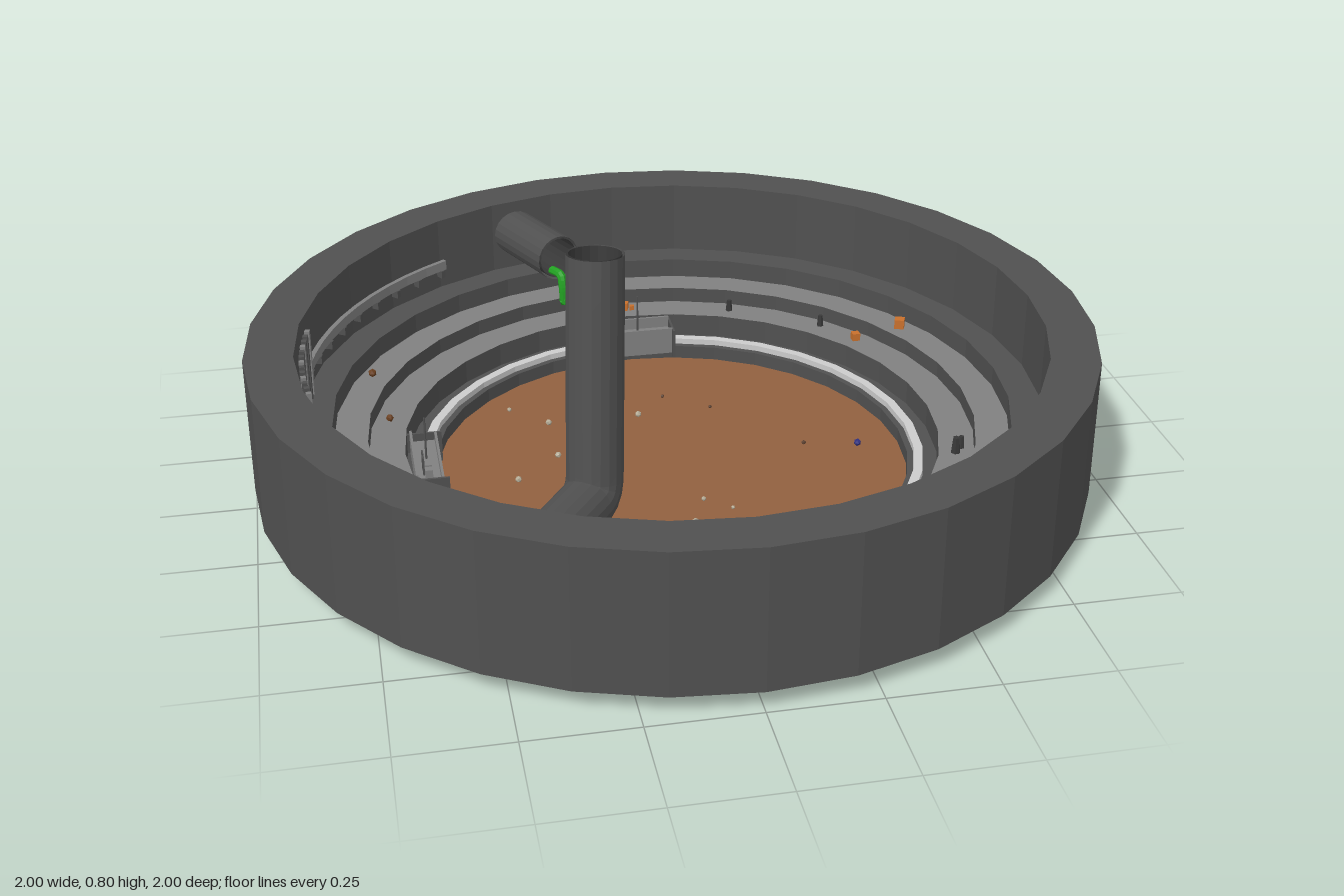
import * as THREE from 'three';

const DARK = 0x505050, STONE = 0x808080, PALE = 0xcccccc, SOIL = 0x91603f;
const mat = (color) => new THREE.MeshStandardMaterial({ color, flatShading: true, side: THREE.DoubleSide });
const V = (x, y, z) => new THREE.Vector3(x, y, z);

function add(parent, name, geo, color, x = 0, y = 0, z = 0) {
  const m = new THREE.Mesh(geo, mat(color));
  m.name = name;
  m.position.set(x, y, z);
  parent.add(m);
  return m;
}
const box = (parent, name, w, h, d, color, x, y, z) =>
  add(parent, name, new THREE.BoxGeometry(w, h, d), color, x, y, z);

// 32-sided ring swept from [radius, height] pairs
const ring = (parent, name, pts, color) =>
  add(parent, name, new THREE.LatheGeometry(pts.map((p) => new THREE.Vector2(...p)), 32), color);

// Open pipe: straight runs joined by a short bend at the middle point
function pipe(parent, name, pts, r) {
  const path = new THREE.CurvePath();
  if (pts.length === 2) path.add(new THREE.LineCurve3(pts[0], pts[1]));
  else {
    const [a, b, c] = pts;
    const b0 = b.clone().add(a.clone().sub(b).setLength(0.05));
    const b1 = b.clone().add(c.clone().sub(b).setLength(0.05));
    path.add(new THREE.LineCurve3(a, b0));
    path.add(new THREE.QuadraticBezierCurve3(b0, b, b1));
    path.add(new THREE.LineCurve3(b1, c));
  }
  add(parent, name, new THREE.TubeGeometry(path, 40, r, 20), DARK);
  add(parent, name + 'Lining', new THREE.TubeGeometry(path, 40, r - 0.006, 20), 0x383838);
}

// Surface height of the bowl interior at a given radius
const heightAt = (r) => (r > 0.81 ? 0.2 : r > 0.73 ? 0.15 : r > 0.645 ? 0.11 : r > 0.57 ? 0.05 : 0.015);

// Viewing box on the barrier, built facing +z at the back of the arena
function viewingBox() {
  const g = new THREE.Group();
  g.name = 'viewingBox';
  box(g, 'boxFloor', 0.22, 0.05, 0.066, STONE, 0, 0.055, 0);
  box(g, 'boxFront', 0.22, 0.025, 0.006, STONE, 0, 0.09, 0.03);
  box(g, 'boxBack', 0.22, 0.03, 0.006, STONE, 0, 0.095, -0.03);
  for (const s of [-1, 1]) {
    box(g, 'boxSide', 0.006, 0.08, 0.09, DARK, s * 0.112, 0.06, 0);
  }
  for (const x of [-0.065, -0.04]) {
    box(g, 'seat', 0.018, 0.02, 0.018, STONE, x, 0.09, 0);
    box(g, 'seatBack', 0.018, 0.045, 0.004, DARK, x, 0.11, -0.012);
  }
  add(g, 'pole', new THREE.CylinderGeometry(0.0025, 0.0025, 0.11, 6), DARK, 0.02, 0.135, 0);
  return g;
}

export function createModel() {
  const model = new THREE.Group();
  model.name = 'arena';

  // Outer bowl, stepped underside and inner wall
  ring(model, 'outerShell', [[0, 0], [0.73, 0], [0.73, 0.01], [0.885, 0.01], [0.885, 0.05], [1, 0.05],
    [1, 0.39], [0.885, 0.39], [0.885, 0.2], [0.81, 0.2], [0.81, 0.15]], DARK);

  // Terraces and their risers
  ring(model, 'upperTerrace', [[0.81, 0.15], [0.73, 0.15]], STONE);
  ring(model, 'upperRiser', [[0.73, 0.15], [0.73, 0.11]], DARK);
  ring(model, 'lowerTerrace', [[0.73, 0.11], [0.645, 0.11]], STONE);
  ring(model, 'lowerRiser', [[0.645, 0.11], [0.645, 0.05], [0.61, 0.05]], DARK);

  // Barrier around the soil floor
  ring(model, 'barrier', [[0.61, 0.05], [0.61, 0.065], [0.588, 0.065], [0.588, 0.05]], PALE);
  ring(model, 'barrierFoot', [[0.588, 0.05], [0.573, 0.05], [0.573, 0.015]], DARK);
  ring(model, 'floor', [[0.573, 0.015], [0, 0.015]], SOIL);

  // Three viewing boxes: back, front and right
  for (const a of [0, Math.PI, Math.PI / 2]) {
    const b = viewingBox();
    b.position.set(-Math.sin(a) * 0.595, 0, -Math.cos(a) * 0.595);
    b.rotation.y = a;
    model.add(b);
  }

  // Bent chimney pipe and short outlet pipe
  pipe(model, 'chimneyPipe', [V(-0.45, 0.26, 0.78), V(-0.27, 0.26, 0.527), V(-0.25, 0.797, 0.463)], 0.062);
  pipe(model, 'outletPipe', [V(-0.285, 0.3, -0.86), V(-0.185, 0.305, -0.63)], 0.06);

  // Slime dripping from the outlet
  const drip = new THREE.CatmullRomCurve3([V(-0.2, 0.258, -0.66), V(-0.18, 0.255, -0.625), V(-0.177, 0.23, -0.615), V(-0.175, 0.19, -0.612)]);
  add(model, 'slime', new THREE.TubeGeometry(drip, 12, 0.012, 8), 0x22a022);
  add(model, 'slimeDrop', new THREE.IcosahedronGeometry(0.014, 0), 0x22a022, -0.175, 0.187, -0.612);

  // Slatted grille on the inner wall
  for (let i = 0; i <= 12; i++) {
    const a = Math.PI - 0.17 + i * 0.031;
    const slat = box(model, 'grilleSlat', 0.012, 0.17, 0.012, i % 3 ? DARK : STONE, 0.868 * Math.cos(a), 0.285, 0.868 * Math.sin(a));
    slat.rotation.y = -a;
  }

  // Curved rail along the wall beside the grille, on small brackets
  const railShape = [[0.878, 0.255], [0.878, 0.28], [0.866, 0.28], [0.866, 0.255], [0.878, 0.255]];
  add(model, 'wallRail', new THREE.LatheGeometry(railShape.map((p) => new THREE.Vector2(...p)), 10, Math.PI * 1.185, Math.PI * 0.255), STONE);
  for (let i = 0; i < 9; i++) {
    const a = Math.PI * (1.07 + i * 0.03);
    const bracket = box(model, 'railBracket', 0.02, 0.02, 0.012, DARK, 0.872 * Math.cos(a), 0.245, 0.872 * Math.sin(a));
    bracket.rotation.y = -a;
  }

  // Dark doorway opening onto the terraces
  const door = box(model, 'doorway', 0.03, 0.11, 0.13, 0x303030, -0.735, 0.205, 0.36);
  door.rotation.y = 0.46;

  // Crates, rubble and spectators' litter: [x, z, size]
  const scatter = (name, color, list, make) => {
    for (const [x, z, s] of list) {
      const m = add(model, name, make(s), color, x, heightAt(Math.hypot(x, z)) + s * 0.5, z);
      m.rotation.y = x * 9 + z * 5;
    }
  };
  const cube = (s) => new THREE.BoxGeometry(s, s, s);
  const rock = (s) => new THREE.IcosahedronGeometry(s * 0.6, 0);
  const post = (s) => new THREE.CylinderGeometry(s * 0.2, s * 0.3, s, 6);
  scatter('crate', 0xc8702c, [[0.68, -0.36, 0.025], [0.57, -0.39, 0.02], [0, -0.69, 0.02], [0.02, -0.685, 0.012],
    [-0.64, 0.285, 0.025], [-0.6, 0.3, 0.022], [0.28, 0.615, 0.024], [0.315, 0.6, 0.022],
    [0.435, 0.635, 0.025], [0.465, 0.62, 0.022], [-0.41, 0.54, 0.018]], cube);
  scatter('barrel', 0x6b4020, [[-0.7, -0.34, 0.018], [-0.67, -0.17, 0.016], [-0.77, 0.07, 0.018], [0.1, 0.755, 0.016]], rock);
  scatter('stake', 0x383838, [[0.28, -0.63, 0.03], [0.5, -0.49, 0.03], [0.64, 0.24, 0.04], [-0.13, -0.77, 0.03], [0.66, 0.22, 0.03]], post);
  scatter('pebble', 0xb5ad98, [[-0.27, -0.25, 0.014], [-0.04, -0.25, 0.014], [-0.27, -0.08, 0.014], [-0.38, 0.02, 0.014],
    [0.04, 0.19, 0.01], [-0.39, 0.24, 0.01], [-0.36, -0.34, 0.01], [0.1, 0.24, 0.008], [0, 0.29, 0.014]], rock);
  scatter('darkPebble', 0x5a4030, [[0.34, -0.03, 0.01], [-0.24, 0.11, 0.01], [0.23, 0.31, 0.01], [0.15, -0.26, 0.008],
    [0.31, 0.3, 0.008], [0.04, -0.34, 0.008]], rock);
  scatter('blueStone', 0x303080, [[0.47, 0, 0.016]], rock);

  return model;
}
